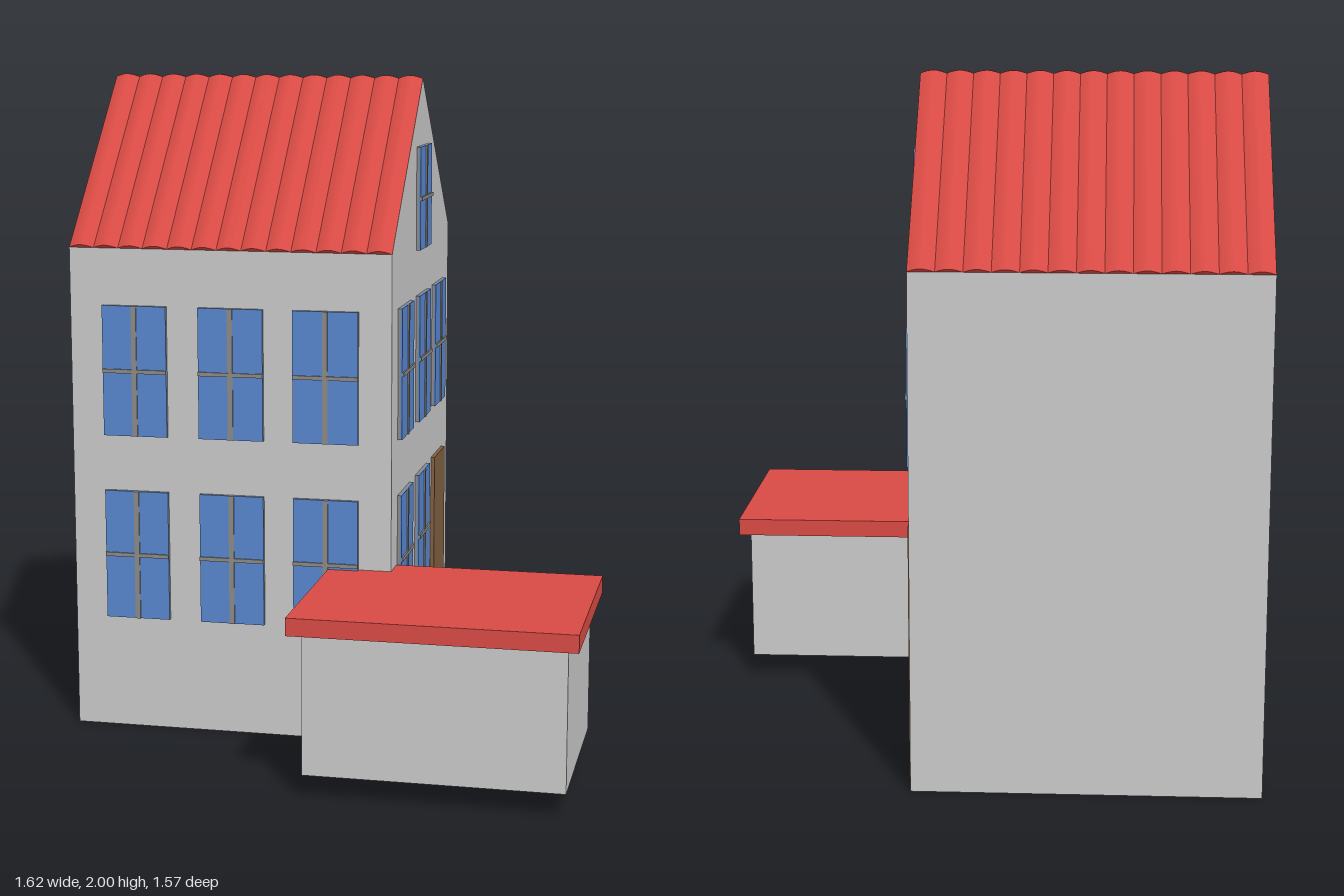
import * as THREE from 'three';
import { toCreasedNormals } from 'three/addons/utils/BufferGeometryUtils.js';

const material = (name, color) => {
  const m = new THREE.MeshStandardMaterial({ color });
  m.name = name;
  return m;
};

export function createModel() {
  const wall = material('wall grey', 0xc9c9c9);
  const red = material('roof red', 0xd84a44);
  const blue = material('glass blue', 0x5886cf);
  const frameGrey = material('frame grey', 0x8c8a86);
  const brown = material('door brown', 0x805f40);

  const model = new THREE.Group();
  model.name = 'house';

  const add = (parent, name, geometry, mat, x = 0, y = 0, z = 0) => {
    const mesh = new THREE.Mesh(geometry, mat);
    mesh.name = name;
    mesh.position.set(x, y, z);
    parent.add(mesh);
    return mesh;
  };
  const box = (w, h, d) => new THREE.BoxGeometry(w, h, d);

  // Main house: gabled cross-section extruded along x
  const left = -0.813, right = 0.182, front = 0.22, back = -0.775;
  const eave = 1.495, ridge = 1.99, midZ = (front + back) / 2;
  const width = right - left, midX = (left + right) / 2;
  const gable = new THREE.Shape([
    [-front, 0], [-back, 0], [-back, eave], [-midZ, ridge], [-front, eave],
  ].map(([x, y]) => new THREE.Vector2(x, y)));
  const houseGeometry = new THREE.ExtrudeGeometry(gable, { depth: width, bevelEnabled: false });
  houseGeometry.rotateY(Math.PI / 2);
  add(model, 'houseWalls', houseGeometry, wall, left);

  // Roof slopes: a row of rounded ribs running from ridge to eave
  const ribs = 13, steps = 8, rise = 0.013;
  const profile = [new THREE.Vector2(-width / 2, 0), new THREE.Vector2(width / 2, 0)];
  for (let i = ribs * steps; i >= 0; i--) {
    const bulge = Math.abs(Math.sin((i / steps) * Math.PI));
    profile.push(new THREE.Vector2(-width / 2 + (width * i) / (ribs * steps), 0.002 + rise * bulge));
  }
  const slopeLength = Math.hypot(ridge - eave, front - midZ);
  const tileGeometry = toCreasedNormals(
    new THREE.ExtrudeGeometry(new THREE.Shape(profile), { depth: slopeLength, bevelEnabled: false }), 0.5);
  tileGeometry.rotateX(Math.PI / 4);
  add(model, 'frontRoof', tileGeometry, red, midX, ridge, midZ);
  add(model, 'backRoof', tileGeometry, red, midX, ridge, midZ).rotation.y = Math.PI;

  // Windows: frame, glass plate and crossing bars, facing +z
  const addWindow = (x, y, z, height, turn) => {
    const w = new THREE.Group();
    w.name = 'window';
    add(w, 'windowFrame', box(0.2, height, 0.008), frameGrey, 0, 0, 0.004);
    add(w, 'glass', box(0.2, height, 0.005), blue, 0, 0, 0.0105);
    add(w, 'uprightBar', box(0.016, height, 0.006), frameGrey, 0, 0, 0.014);
    add(w, 'crossBar', box(0.2, 0.012, 0.006), frameGrey, 0, 0, 0.015);
    w.position.set(x, y, z);
    w.rotation.y = turn;
    model.add(w);
  };
  const lowRow = 0.55, highRow = 1.122;
  for (const y of [lowRow, highRow]) {
    for (const x of [-0.61, -0.31, -0.018]) addWindow(x, y, front, 0.4, 0);
    for (const z of [0.022, -0.277]) addWindow(right, y, z, 0.4, Math.PI / 2);
  }
  addWindow(right, highRow, -0.567, 0.4, Math.PI / 2);
  addWindow(right, 1.625, -0.277, 0.32, Math.PI / 2);

  // Door
  add(model, 'door', box(0.012, 0.75, 0.2), brown, right + 0.006, 0.375, -0.57);

  // Small annex with a flat overhanging roof
  add(model, 'annexWalls', box(0.75, 0.415, 0.583), wall, 0.403, 0.2775, 0.4595);
  add(model, 'annexRoof', box(0.82, 0.052, 0.65), red, 0.4, 0.511, 0.46);

  return model;
}
